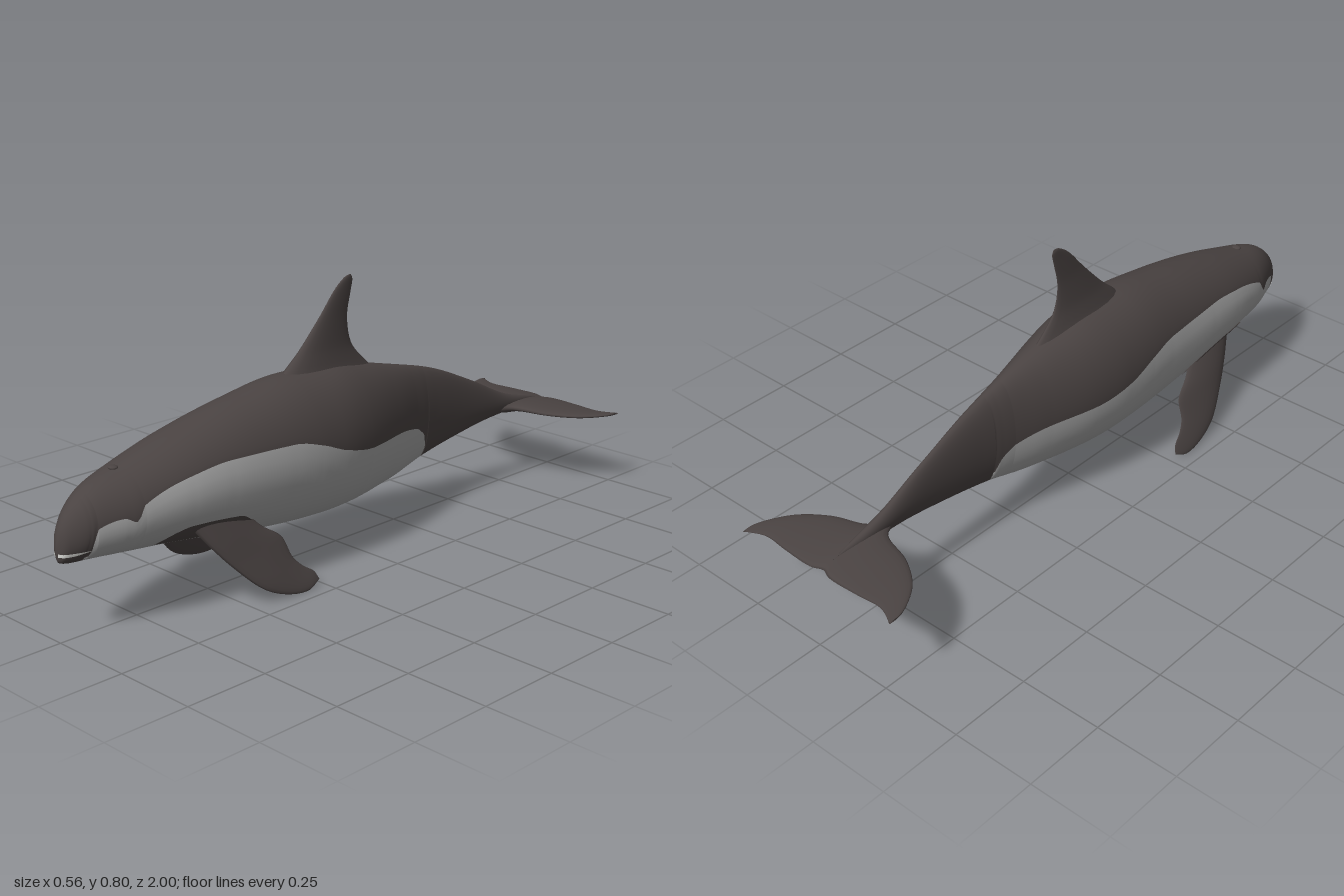
import * as THREE from 'three';
import { mergeVertices } from 'three/addons/utils/BufferGeometryUtils.js';

// Smooth, non-overshooting curve through [z, value] points listed from nose to tail
function profile(points) {
  const secant = i => (points[i + 1][1] - points[i][1]) / (points[i + 1][0] - points[i][0]);
  const last = points.length - 1;
  const slopes = points.map((_, i) => {
    if (i === 0) return secant(0);
    if (i === last) return secant(last - 1);
    const a = secant(i - 1), b = secant(i);
    return a * b <= 0 ? 0 : 2 * a * b / (a + b);
  });
  return z => {
    let i = 0;
    while (i < last - 1 && z < points[i + 1][0]) i++;
    const [z0, v0] = points[i], [z1, v1] = points[i + 1];
    const d = z1 - z0, t = THREE.MathUtils.clamp((z - z0) / d, 0, 1), s = 1 - t;
    return v0 * (1 + 2 * t) * s * s + slopes[i] * d * t * s * s
      + v1 * t * t * (3 - 2 * t) - slopes[i + 1] * d * t * t * s;
  };
}

// Body outline: back, belly and half width along z
const back = profile([[1, 0.262], [0.995, 0.295], [0.98, 0.332], [0.95, 0.37], [0.89, 0.41], [0.8, 0.437],
  [0.6, 0.492], [0.4, 0.533], [0.2, 0.558], [0.05, 0.555], [-0.1, 0.53], [-0.2, 0.507], [-0.4, 0.455],
  [-0.6, 0.372], [-0.77, 0.292], [-0.88, 0.262], [-0.94, 0.247]]);
const belly = profile([[1, 0.24], [0.995, 0.224], [0.97, 0.217], [0.9, 0.213], [0.7, 0.196], [0.6, 0.183],
  [0.4, 0.15], [0.2, 0.13], [0.05, 0.124], [-0.2, 0.146], [-0.37, 0.183], [-0.5, 0.205], [-0.7, 0.23],
  [-0.94, 0.24]]);
const halfWidth = profile([[1, 0], [0.99, 0.022], [0.97, 0.038], [0.95, 0.052], [0.9, 0.076], [0.8, 0.112],
  [0.6, 0.142], [0.4, 0.153], [0.2, 0.159], [0.1, 0.156], [0, 0.142], [-0.2, 0.088], [-0.3, 0.058],
  [-0.4, 0.038], [-0.6, 0.021], [-0.8, 0.017], [-0.94, 0]]);

// Upper edge of the pale flank marking
const markEdge = [[0.945, 0.2], [0.93, 0.235], [0.915, 0.312], [0.85, 0.33], [0.82, 0.316], [0.795, 0.355],
  [0.65, 0.4], [0.52, 0.415], [0.3, 0.41], [0.2, 0.385], [0.11, 0.35], [-0.02, 0.323], [-0.18, 0.318],
  [-0.29, 0.297], [-0.335, 0.262], [-0.35, 0.225], [-0.356, 0.15]];
const markHeight = profile(markEdge);

function sectionAt(z) {
  const top = back(z), bottom = belly(z);
  return { mid: (top + bottom) / 2, half: (top - bottom) / 2, width: halfWidth(z) };
}
function surfaceX(z, y) {
  const s = sectionAt(z), k = (y - s.mid) / s.half;
  return s.width * Math.sqrt(Math.max(0, 1 - k * k));
}

// Closed skin over equal rings of points; isPale(j) picks the second material
function skin(rings, isPale = () => false) {
  const n = rings[0].length, lists = [[], []];
  for (let i = 0; i < rings.length - 1; i++) {
    for (let j = 0; j < n; j++) {
      const k = (j + 1) % n, a = i * n + j, b = i * n + k, c = a + n, d = b + n;
      lists[isPale(j) ? 1 : 0].push(a, c, b, b, c, d);
    }
  }
  const points = rings.flat();
  // Turn the faces outward if the enclosed volume comes out negative
  const volume = list => {
    let v = 0;
    for (let i = 0; i < list.length; i += 3) {
      v += points[list[i]].dot(points[list[i + 1]].clone().cross(points[list[i + 2]]));
    }
    return v;
  };
  if (volume(lists[0]) + volume(lists[1]) < 0) lists.forEach(list => list.reverse());
  const geometry = new THREE.BufferGeometry().setFromPoints(points);
  geometry.setIndex([...lists[0], ...lists[1]]);
  geometry.addGroup(0, lists[0].length, 0);
  geometry.addGroup(lists[0].length, lists[1].length, 1);
  const merged = mergeVertices(geometry, 1e-5);
  merged.computeVertexNormals();
  return merged;
}

function bodyGeometry() {
  const DARK = 14, PALE = 10, SIDE = DARK + PALE;
  const stations = markEdge.map(p => p[0]);
  for (let i = 0; i <= 80; i++) stations.push(1 - 1.94 * Math.pow(i / 80, 1.5));
  stations.sort((a, b) => b - a);
  const rings = stations.map(z => {
    const s = sectionAt(z);
    const marked = z < 0.945 && z > -0.356;
    const k = marked ? THREE.MathUtils.clamp((markHeight(z) - s.mid) / s.half, -1, 1) : -1;
    const edge = Math.acos(k);
    return Array.from({ length: SIDE * 2 }, (_, j) => {
      const m = j <= SIDE ? j : SIDE * 2 - j;
      const a = m <= DARK ? edge * m / DARK : edge + (Math.PI - edge) * (m - DARK) / PALE;
      const x = m === 0 || m === SIDE ? 0 : s.width * Math.sin(a) * (j <= SIDE ? 1 : -1);
      return new THREE.Vector3(x, s.mid + s.half * Math.cos(a), z);
    });
  });
  return skin(rings, j => j >= DARK && j < SIDE * 2 - DARK);
}

// Fin lofted through [leading point, trailing point, half thickness]
function finGeometry(sections, normal) {
  const lead = new THREE.CatmullRomCurve3(sections.map(s => new THREE.Vector3(...s[0])));
  const trail = new THREE.CatmullRomCurve3(sections.map(s => new THREE.Vector3(...s[1])));
  const thick = new THREE.CatmullRomCurve3(sections.map(s => new THREE.Vector3(s[2], 0, 0)));
  const steps = (sections.length - 1) * 5, rings = [];
  for (let i = 0; i <= steps; i++) {
    const t = i / steps, a = lead.getPoint(t), b = trail.getPoint(t);
    const h = Math.max(0, thick.getPoint(t).x);
    rings.push(Array.from({ length: 20 }, (_, j) => {
      const q = j / 20 * Math.PI * 2, c = (1 - Math.cos(q)) / 2;
      return a.clone().lerp(b, c).addScaledVector(normal, h * Math.sin(q) * (1.15 - 0.5 * c));
    }));
  }
  return skin(rings);
}

// Thin marking laid on the body between two heights, from z0 back to z1
function patchGeometry(side, z0, z1, low, high, offset) {
  const geometry = new THREE.PlaneGeometry(1, 1, 24, 8), p = geometry.attributes.position;
  for (let i = 0; i < p.count; i++) {
    const z = THREE.MathUtils.lerp(z0, z1, p.getX(i) + 0.5);
    const y = THREE.MathUtils.lerp(low(z), high(z), p.getY(i) + 0.5);
    p.setXYZ(i, side * (surfaceX(z, y) + offset), y, z);
  }
  geometry.computeVertexNormals();
  return geometry;
}

export function createModel() {
  const model = new THREE.Group();
  const dark = new THREE.MeshStandardMaterial({ color: 0x4a4342, side: THREE.DoubleSide });
  const pale = new THREE.MeshStandardMaterial({ color: 0xa6a6a6 });
  const ivory = new THREE.MeshStandardMaterial({ color: 0xdcdcd8, side: THREE.DoubleSide });
  dark.name = 'charcoal skin';
  pale.name = 'pale grey skin';
  ivory.name = 'ivory teeth';
  const add = (name, geometry, material) => {
    const mesh = new THREE.Mesh(geometry, material);
    mesh.name = name;
    model.add(mesh);
    return mesh;
  };

  add('body', bodyGeometry(), [dark, pale]);

  // Dorsal fin, flaring into the back
  const dorsal = [[0.26, 0.5, -0.2, 0.47, 0.06], [0.2, 0.562, -0.11, 0.545, 0.034],
    [0.145, 0.61, -0.062, 0.6, 0.021], [0.06, 0.7, -0.046, 0.68, 0.01], [0, 0.768, -0.06, 0.75, 0.006],
    [-0.04, 0.796, -0.067, 0.785, 0.004], [-0.06, 0.8, -0.06, 0.8, 0]]
    .map(([z0, y0, z1, y1, t]) => [[0, y0, z0], [0, y1, z1], t]);
  add('dorsalFin', finGeometry(dorsal, new THREE.Vector3(1, 0, 0)), dark);

  // Tail flukes, tip to tip
  const half = [[0, -0.71, -0.965, 0.02], [0.035, -0.765, -0.977, 0.016], [0.137, -0.8, -0.975, 0.011],
    [0.217, -0.855, -0.97, 0.008], [0.262, -0.92, -0.988, 0.005], [0.278, -0.965, -0.998, 0.003],
    [0.275, -0.996, -0.996, 0]];
  const span = [...half.slice(1).reverse().map(([x, ...r]) => [-x, ...r]), ...half]
    .map(([x, z0, z1, t]) => [[x, 0.25 - Math.abs(x) * 0.04, z0], [x, 0.237, z1], t]);
  add('tailFlukes', finGeometry(span, new THREE.Vector3(0, 1, 0)), dark);

  const flipper = [[0.64, 0.25, 0.46, 0.26, 0.024], [0.59, 0.18, 0.41, 0.2, 0.02],
    [0.54, 0.12, 0.35, 0.155, 0.015], [0.46, 0.045, 0.335, 0.1, 0.011], [0.38, 0.012, 0.31, 0.07, 0.007],
    [0.31, 0.005, 0.275, 0.045, 0.004], [0.265, 0.022, 0.265, 0.022, 0]];
  for (const side of [1, -1]) {
    const label = side > 0 ? 'left' : 'right';
    // Flipper sweeping down, out and back
    const lean = y => side * (0.21 - 0.45 * y);
    const sections = flipper.map(([z0, y0, z1, y1, t]) => [[lean(y0), y0, z0], [lean(y1), y1, z1], t]);
    add(label + 'Flipper', finGeometry(sections, new THREE.Vector3(side, 0.45, 0).normalize()), dark);
    // Dark skin around the flipper root
    const upper = profile([[0.74, 0.225], [0.7, 0.25], [0.65, 0.262], [0.49, 0.25], [0.41, 0.2]]);
    const lower = profile([[0.74, 0.222], [0.7, 0.215], [0.6, 0.203], [0.48, 0.19], [0.41, 0.195]]);
    add(label + 'FlipperPatch', patchGeometry(side, 0.74, 0.41, lower, upper, 0.003), dark);
    // Teeth showing in the mouth slit
    const lip = z => 0.25 + (1 - z) * 0.06;
    const gum = z => lip(z) - 0.009 * Math.min(1, (z - 0.92) * 20);
    add(label + 'Teeth', patchGeometry(side, 0.998, 0.92, gum, lip, 0.002), ivory);
  }

  // Blowhole on top of the head
  const blowhole = add('blowhole', new THREE.SphereGeometry(0.015, 16, 8), dark);
  blowhole.scale.set(1, 0.35, 0.9);
  blowhole.position.set(0, back(0.81) + 0.001, 0.81);
  return model;
}
